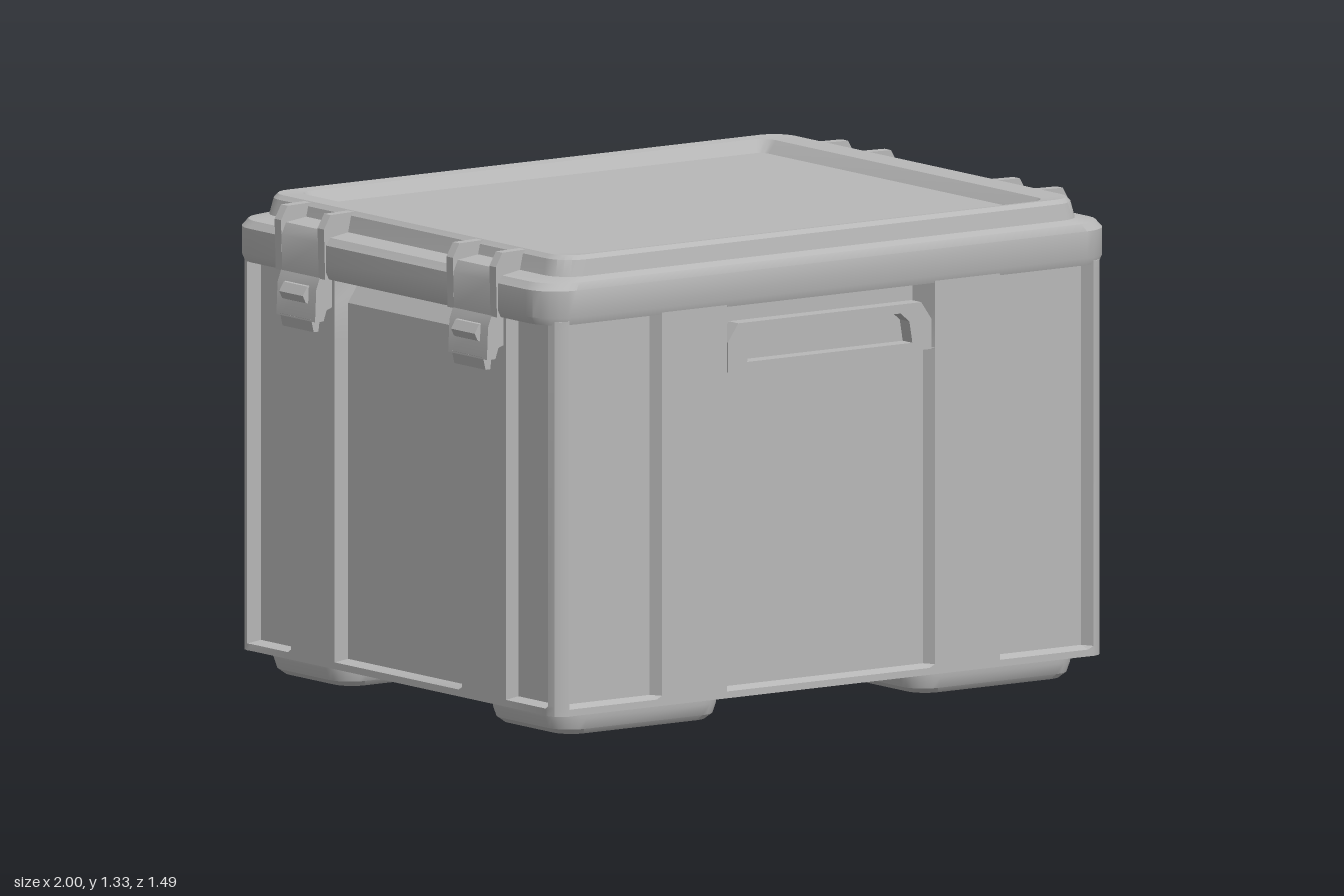
import * as THREE from 'three';
import { toCreasedNormals } from 'three/addons/utils/BufferGeometryUtils.js';

const grey = new THREE.MeshStandardMaterial({ color: 0xb8b8b8 });
grey.name = 'grey plastic';

function addMesh(parent, name, geometry, crease = 0.5) {
  const mesh = new THREE.Mesh(toCreasedNormals(geometry, crease), grey);
  mesh.name = name;
  parent.add(mesh);
  return mesh;
}

// Mirror a quarter outline (from +x round to +z) into a closed ring at height y
function ring(quarter, y) {
  const back = [...quarter].reverse();
  return [
    ...quarter.map(([x, z]) => [x, y, z]),
    ...back.map(([x, z]) => [-x, y, z]),
    ...quarter.map(([x, z]) => [-x, y, -z]),
    ...back.map(([x, z]) => [x, y, -z]),
  ];
}

function roundedRing(hx, hz, r, y) {
  const quarter = [];
  for (let i = 0; i <= 6; i++) {
    const a = (i / 6) * Math.PI / 2;
    quarter.push([hx - r + r * Math.cos(a), hz - r + r * Math.sin(a)]);
  }
  return ring(quarter, y);
}

// Skin a stack of rings, bottom to top, and close both ends
function loft(rings) {
  const n = rings[0].length;
  const last = rings.length - 1;
  const index = [];
  for (let i = 0; i < last; i++) {
    for (let j = 0; j < n; j++) {
      const a = i * n + j, b = i * n + (j + 1) % n;
      index.push(a, a + n, b, b, a + n, b + n);
    }
  }
  const bottom = rings.length * n, top = bottom + 1;
  for (let j = 0; j < n; j++) {
    const k = (j + 1) % n;
    index.push(bottom, j, k, top, last * n + k, last * n + j);
  }
  const points = [...rings.flat(), [0, rings[0][0][1], 0], [0, rings[last][0][1], 0]];
  const g = new THREE.BufferGeometry();
  g.setAttribute('position', new THREE.Float32BufferAttribute(points.flat(), 3));
  g.setIndex(index);
  return g;
}

// Tub outline: cx and cz place the middle panels, px and pz the corner panels
function tubRing(y, cx, cz, px, pz) {
  return ring([
    [cx, 0.28], [0.927, 0.297], [0.927, 0.50], [px, 0.515],
    [px, 0.685], [0.93, 0.70], [0.924, 0.722], [0.91, 0.735], [0.888, 0.742],
    [0.872, pz], [0.59, pz], [0.573, 0.74], [0.352, 0.74], [0.335, cz],
  ], y);
}

function extrudeProfile(points, depth, hole) {
  const shape = new THREE.Shape(points.map(p => new THREE.Vector2(...p)));
  if (hole) shape.holes.push(new THREE.Path(hole.map(p => new THREE.Vector2(...p))));
  return new THREE.ExtrudeGeometry(shape, { depth, bevelEnabled: false }).translate(0, 0, -depth / 2);
}

export function createModel() {
  const model = new THREE.Group();
  model.name = 'storageBox';

  // Tub with sunken panels between the ribs and hand pockets under the lid
  addMesh(model, 'tub', loft([
    tubRing(0.064, 0.927, 0.74, 0.927, 0.74),
    tubRing(0.083, 0.927, 0.74, 0.927, 0.74),
    tubRing(0.092, 0.894, 0.708, 0.895, 0.707),
    tubRing(0.965, 0.894, 0.708, 0.895, 0.707),
    tubRing(0.97, 0.894, 0.66, 0.895, 0.707),
    tubRing(1.08, 0.894, 0.66, 0.895, 0.707),
    tubRing(1.13, 0.86, 0.66, 0.895, 0.707),
    tubRing(1.16, 0.86, 0.66, 0.895, 0.707),
  ]));

  // Lid with a stepped, raised rim and a sunken top panel
  addMesh(model, 'lid', loft([
    roundedRing(0.92, 0.71, 0.07, 1.15),
    roundedRing(0.955, 0.738, 0.09, 1.15),
    roundedRing(0.965, 0.745, 0.10, 1.17),
    roundedRing(0.965, 0.745, 0.10, 1.245),
    roundedRing(0.95, 0.735, 0.10, 1.265),
    roundedRing(0.89, 0.707, 0.08, 1.275),
    roundedRing(0.88, 0.70, 0.08, 1.32),
    roundedRing(0.868, 0.69, 0.07, 1.332),
    roundedRing(0.795, 0.658, 0.05, 1.328),
    roundedRing(0.77, 0.637, 0.03, 1.293),
  ]));

  // Feet with chamfered, rounded soles
  for (const x of [-0.6, 0.6]) {
    for (const z of [-0.51, 0.51]) {
      const foot = addMesh(model, 'foot', loft([
        roundedRing(0.25, 0.165, 0.06, 0),
        roundedRing(0.27, 0.18, 0.07, 0.015),
        roundedRing(0.28, 0.19, 0.08, 0.045),
        roundedRing(0.28, 0.19, 0.08, 0.07),
      ]));
      foot.position.set(x, 0, z);
    }
  }

  // Slotted handles on front and back
  for (const turn of [0, Math.PI]) {
    const handle = new THREE.Group();
    handle.name = 'handle';
    const frame = addMesh(handle, 'handleFrame', extrudeProfile(
      [[-0.345, 0.967], [0.345, 0.967], [0.345, 1.05], [0.31, 1.10], [-0.31, 1.10], [-0.345, 1.05]],
      0.045,
      [[-0.28, 0.99], [-0.27, 1.05], [-0.24, 1.075], [0.24, 1.075], [0.27, 1.05], [0.28, 0.99]],
    ));
    frame.position.z = 0.712;
    handle.rotation.y = turn;
    model.add(handle);
  }

  // Lid lugs and latches on both ends
  for (const turn of [0, Math.PI]) {
    const end = new THREE.Group();
    end.name = 'latchEnd';
    for (const z of [-0.4, 0.4]) {
      const latch = new THREE.Group();
      latch.name = 'latch';
      latch.position.z = z;
      // Lug saddle between two taller cheeks
      addMesh(latch, 'lugSaddle', extrudeProfile(
        [[0.86, 1.15], [0.968, 1.15], [0.97, 1.25], [0.955, 1.283], [0.86, 1.295]], 0.19));
      for (const side of [-1, 1]) {
        const cheek = addMesh(latch, 'lugCheek', extrudeProfile(
          [[0.86, 1.15], [0.968, 1.15], [0.972, 1.29], [0.95, 1.328], [0.86, 1.33]], 0.03));
        cheek.position.z = side * 0.1;
      }
      // Hanging clip, its narrower lower lip and a pull ridge
      addMesh(latch, 'clip', extrudeProfile(
        [[0.90, 1.16], [0.965, 1.16], [0.98, 1.12], [0.984, 1.03], [0.955, 1.03], [0.945, 1.06],
          [0.89, 1.08]], 0.18));
      addMesh(latch, 'clipLip', extrudeProfile(
        [[0.955, 1.035], [0.984, 1.035], [0.976, 1.0], [0.96, 1.0]], 0.145));
      addMesh(latch, 'clipRidge', extrudeProfile(
        [[0.96, 1.13], [0.985, 1.125], [1.0, 1.10], [0.99, 1.08], [0.96, 1.07]], 0.11));
      end.add(latch);
    }
    end.rotation.y = turn;
    model.add(end);
  }

  return model;
}
